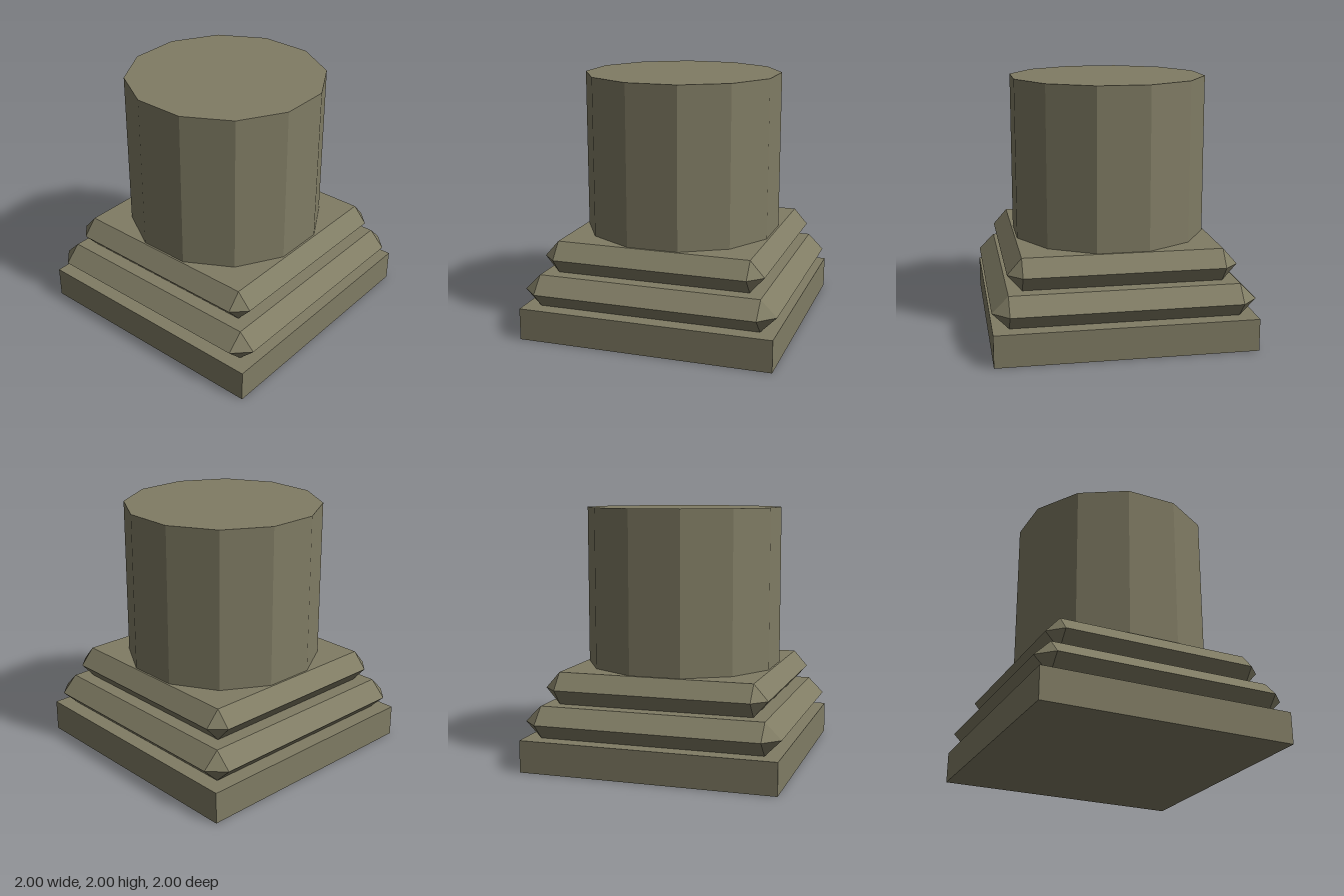
import * as THREE from 'three';
import { ConvexGeometry } from 'three/addons/geometries/ConvexGeometry.js';

export function createModel() {
  const group = new THREE.Group();
  group.name = 'columnBase';
  const stone = new THREE.MeshStandardMaterial({ color: 0x807c64, flatShading: true });
  stone.name = 'weathered stone';

  function add(name, geometry, y = 0) {
    const mesh = new THREE.Mesh(geometry, stone);
    mesh.name = name;
    mesh.position.y = y;
    group.add(mesh);
    return mesh;
  }

  // Square moulding bulging to a ridge at mid height, with clipped corners
  function moulding(inner, outer, height) {
    const points = [];
    for (const sx of [-1, 1]) {
      for (const sz of [-1, 1]) {
        points.push(
          new THREE.Vector3(sx * inner, -height / 2, sz * inner),
          new THREE.Vector3(sx * inner, height / 2, sz * inner),
          new THREE.Vector3(sx * outer, 0, sz * inner),
          new THREE.Vector3(sx * inner, 0, sz * outer)
        );
      }
    }
    return new ConvexGeometry(points);
  }

  // Square slab at the foot
  add('plinth', new THREE.BoxGeometry(2, 0.25, 2), 0.125);

  // Two stacked mouldings
  add('lowerMoulding', moulding(0.875, 1, 0.25), 0.375);
  add('upperMoulding', moulding(0.765, 0.875, 0.25), 0.625);

  // Twelve-sided shaft with flat sides facing the axes
  const radius = 0.75 / Math.cos(Math.PI / 12);
  const shaft = add('shaft', new THREE.CylinderGeometry(radius, radius, 1.25, 12), 1.375);
  shaft.rotation.y = Math.PI / 12;

  return group;
}
